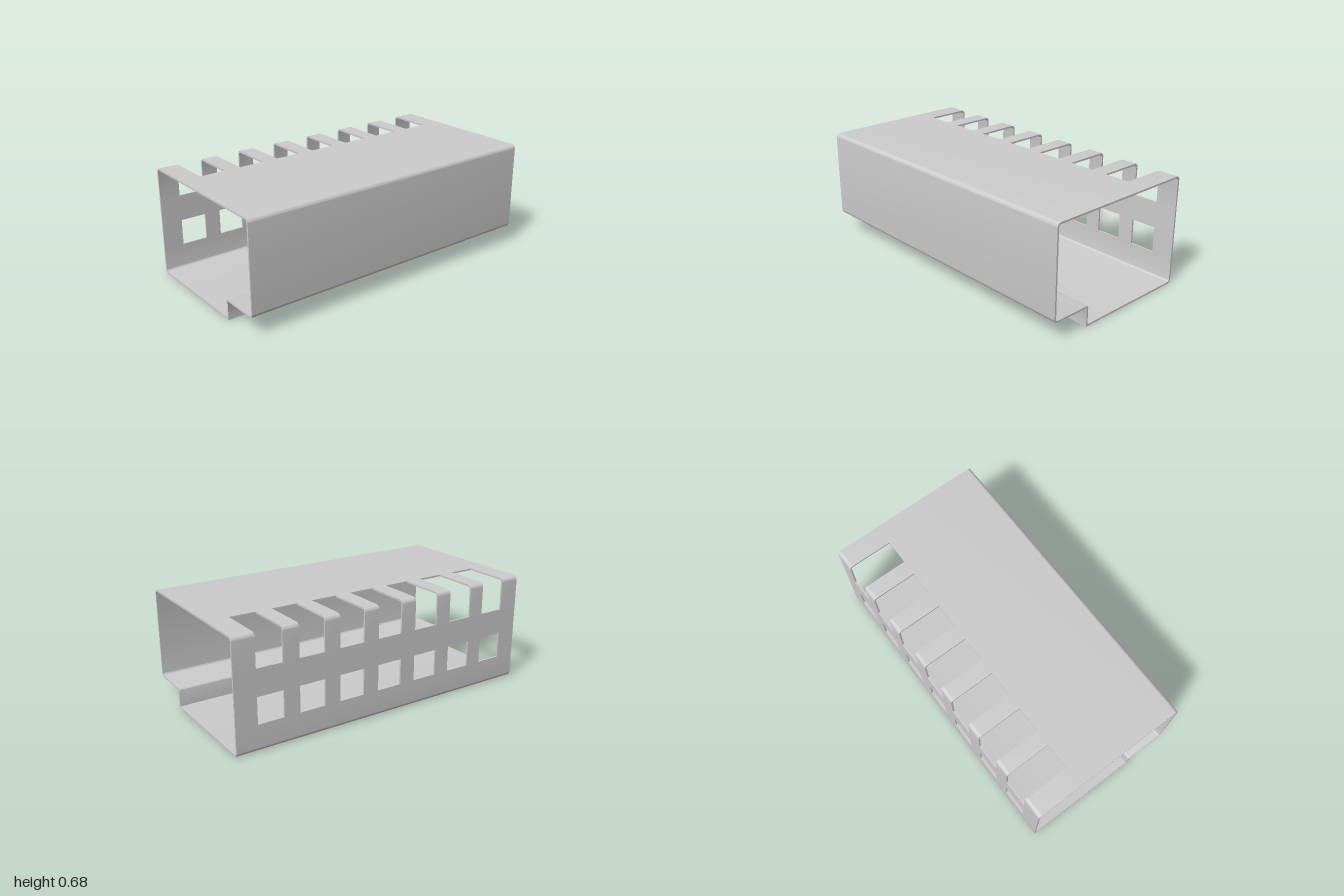
import * as THREE from 'three';
import { toCreasedNormals } from 'three/addons/utils/BufferGeometryUtils.js';

const T = 0.011;                 // sheet thickness
const H = T / 2;
const LEFT = -0.5 + H, RIGHT = 0.5 - H, TOP = 0.68 - H, BOTTOM = H;
const BEND = 0.0195;             // centreline bend radius
const SLOT_X = -0.21;            // inner end of the top slots
const SLOT_Y = 0.48;             // lower end of the slots on the side wall
const WIN = [0.16, 0.32];        // window bottom and top
const COUNT = 7, PITCH = 0.263, CUT = 0.163, MID = 0.004;

// Folded sheet section: thickens a right-angled centreline of [x, y, bendRadius]
function sheet(path) {
  const pts = path.map(([x, y]) => new THREE.Vector2(x, y));
  const a = [], b = [];
  const add = (p, t) => {
    a.push(new THREE.Vector2(p.x - t.y * H, p.y + t.x * H));
    b.unshift(new THREE.Vector2(p.x + t.y * H, p.y - t.x * H));
  };
  const dir = (i) => pts[i + 1].clone().sub(pts[i]).normalize();
  const last = pts.length - 1;
  add(pts[0], dir(0));
  for (let i = 1; i < last; i++) {
    const d1 = dir(i - 1), d2 = dir(i), r = path[i][2] ?? BEND;
    const c = pts[i].clone().addScaledVector(d1, -r).addScaledVector(d2, r);
    for (let k = 0; k <= 8; k++) {
      const s = Math.sin(k * Math.PI / 16), o = Math.cos(k * Math.PI / 16);
      const p = c.clone().addScaledVector(d2, -r * o).addScaledVector(d1, r * s);
      add(p, d1.clone().multiplyScalar(o).addScaledVector(d2, s));
    }
  }
  add(pts[last], dir(last - 1));
  return new THREE.Shape([...a, ...b]);
}

export function createModel() {
  const group = new THREE.Group();
  const material = new THREE.MeshStandardMaterial({ color: 0xcccccc });

  const extrude = (name, path, z0 = -1, z1 = 1) => {
    const geo = new THREE.ExtrudeGeometry(sheet(path), { depth: z1 - z0, bevelEnabled: false });
    geo.translate(0, 0, z0);
    const mesh = new THREE.Mesh(toCreasedNormals(geo, 0.5), material);
    mesh.name = name;
    group.add(mesh);
  };

  // Top plate, right wall, step and riser in one folded sheet
  extrude('topAndStep', [
    [SLOT_X, TOP], [RIGHT, TOP], [RIGHT, 0.121], [0.25 - H, 0.121, 0.009], [0.25 - H, T],
  ]);
  // Floor folded up into the lower part of the slotted wall
  extrude('floor', [[0.25, BOTTOM], [LEFT, BOTTOM], [LEFT, WIN[0]]]);
  // Continuous rail between windows and slots
  extrude('sideRail', [[LEFT, WIN[1]], [LEFT, SLOT_Y]]);

  // Window posts and bent ribs fill the gaps between the cut-outs
  let z0 = -1;
  for (let i = 0; i <= COUNT; i++) {
    const centre = MID + (i - (COUNT - 1) / 2) * PITCH;
    const z1 = i < COUNT ? centre - CUT / 2 : 1;
    extrude('windowPost', [[LEFT, WIN[0]], [LEFT, WIN[1]]], z0, z1);
    extrude('bentRib', [[LEFT, SLOT_Y], [LEFT, TOP], [SLOT_X, TOP]], z0, z1);
    z0 = centre + CUT / 2;
  }
  return group;
}
